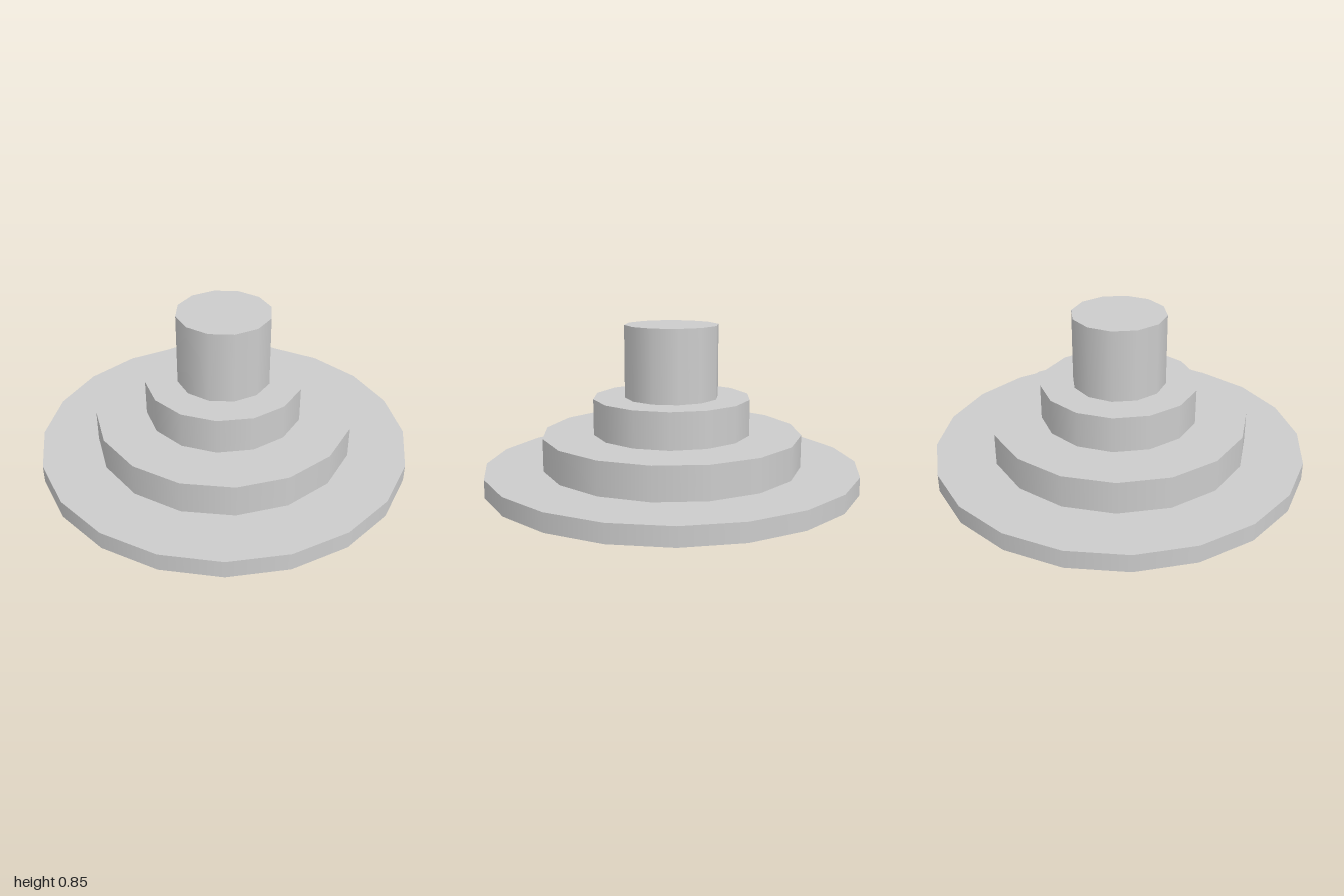
import * as THREE from 'three';

export function createModel() {
  const group = new THREE.Group();
  const material = new THREE.MeshStandardMaterial({ color: 0xcccccc });

  // Stacked round tiers: name, radius, bottom, top, sides
  const tiers = [
    ['basePlate', 1.0, 0, 0.096, 20],
    ['lowerTier', 0.692, 0.096, 0.27, 16],
    ['upperTier', 0.42, 0.27, 0.462, 14],
    ['topPost', 0.25, 0.462, 0.847, 12],
  ];
  for (const [name, radius, bottom, top, sides] of tiers) {
    // Start each ring on the x axis so a corner points to the side
    const geometry = new THREE.CylinderGeometry(radius, radius, top - bottom, sides, 1, false, Math.PI / 2);
    const mesh = new THREE.Mesh(geometry, material);
    mesh.name = name;
    mesh.position.y = (bottom + top) / 2;
    group.add(mesh);
  }
  return group;
}
